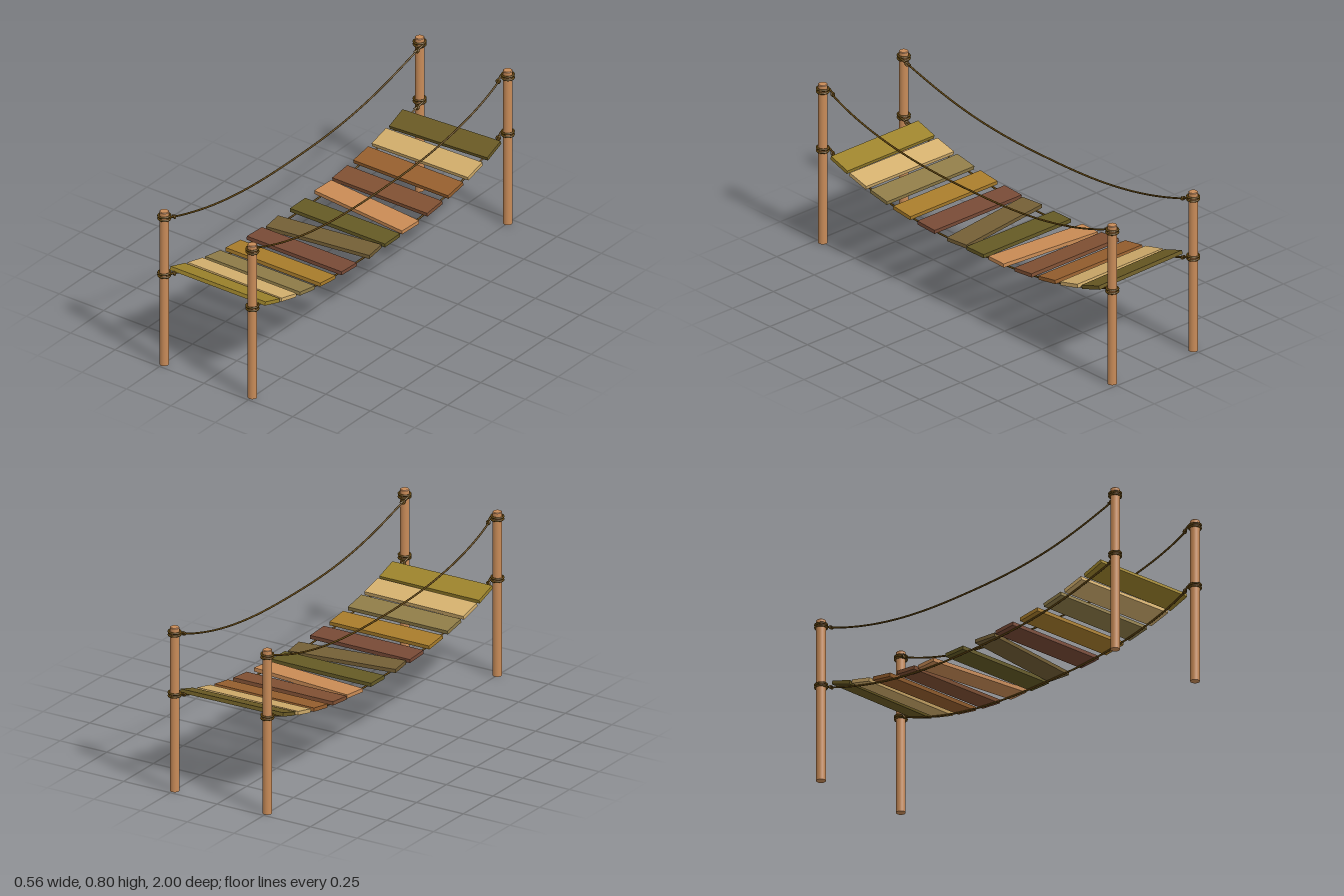
import * as THREE from 'three';

const ROPE = 0x5e430f;
const POST_X = 0.248, POST_Z = 0.967;

function mesh(geometry, color, name) {
  const m = new THREE.Mesh(geometry, new THREE.MeshStandardMaterial({ color }));
  m.name = name;
  return m;
}

// Height of a hanging rope: low in the middle, steep at the ends
const sag = (z, low, rise) => low + rise * Math.pow(Math.abs(z) / 0.93, 2.5);
const DECK = { low: 0.323, rise: 0.137, ring: 0.472 };
const RAIL = { low: 0.617, rise: 0.14, ring: 0.77 };

function post(sx, sz) {
  const profile = [[0, 0], [0.022, 0], [0.022, 0.797], [0.019, 0.8], [0, 0.8]];
  // Doubled points keep the rims sharp
  const pts = profile.flatMap(([r, y]) => [new THREE.Vector2(r, y), new THREE.Vector2(r, y)]);
  const m = mesh(new THREE.LatheGeometry(pts, 24), 0xc88b58, 'post');
  m.position.set(sx * POST_X, 0, sz * POST_Z);
  return m;
}

// Two tilted loops round a post, with a tail ending in a small knot
function lashing(sx, sz, y) {
  const g = new THREE.Group();
  g.name = 'lashing';
  [[0.007, 0.05], [-0.007, -0.03]].forEach(([dy, tilt]) => {
    const ring = mesh(new THREE.TorusGeometry(0.027, 0.005, 8, 28), ROPE, 'ropeLoop');
    ring.rotation.set(Math.PI / 2, tilt, 0);
    ring.position.set(sx * POST_X, y + dy, sz * POST_Z);
    g.add(ring);
  });
  const tail = new THREE.CatmullRomCurve3([
    [0.221, y + 0.004, 0.967], [0.222, y - 0.002, 0.945],
    [0.228, y - 0.012, 0.925], [0.236, y - 0.018, 0.905],
  ].map(([px, py, pz]) => new THREE.Vector3(sx * px, py, sz * pz)));
  g.add(mesh(new THREE.TubeGeometry(tail, 12, 0.005, 8), ROPE, 'ropeTail'));
  const knot = mesh(new THREE.TorusGeometry(0.008, 0.005, 8, 14), ROPE, 'knot');
  knot.position.set(sx * 0.228, y - 0.014, sz * 0.922);
  knot.rotation.set(sz * 0.5, sx * 0.2, 0);
  g.add(knot);
  return g;
}

function rope(sx, { low, rise }, name) {
  const pts = [];
  for (let i = 0; i <= 24; i++) {
    const z = -0.925 + (1.85 * i) / 24;
    const x = 0.24 - 0.01 * Math.pow(Math.abs(z) / 0.925, 8);
    pts.push(new THREE.Vector3(sx * x, sag(z, low, rise), z));
  }
  return mesh(new THREE.TubeGeometry(new THREE.CatmullRomCurve3(pts), 72, 0.0045, 8), ROPE, name);
}

// Planks from back to front: z, turn, colour
const PLANKS = [
  [-0.828, 0.05, 0x6a5a24], [-0.692, 0.02, 0xcfab6a], [-0.549, 0, 0x965f2e],
  [-0.39, 0, 0x805033], [-0.234, -0.095, 0xc98b55], [-0.07, 0, 0x655a25],
  [0.092, 0.135, 0x745f36], [0.258, 0, 0x784a36], [0.42, 0, 0xa87c2b],
  [0.575, 0, 0x8f7c48], [0.712, -0.01, 0xd4b06e], [0.84, 0, 0x9c832c],
];

function plank([z, turn, color]) {
  const m = mesh(new THREE.BoxGeometry(0.534, 0.018, 0.115), color, 'plank');
  const d = 0.01;
  const y = (t) => sag(t, DECK.low, DECK.rise);
  const slope = Math.atan((y(z + d) - y(z - d)) / (2 * d));
  m.rotation.set(-slope, turn, 0);
  m.position.set(-0.001, y(z) + 0.013, z);
  return m;
}

export function createModel() {
  const model = new THREE.Group();
  model.name = 'ropeBridge';
  for (const sx of [-1, 1]) {
    for (const sz of [-1, 1]) {
      model.add(post(sx, sz), lashing(sx, sz, RAIL.ring), lashing(sx, sz, DECK.ring));
    }
    model.add(rope(sx, RAIL, 'handRope'), rope(sx, DECK, 'deckRope'));
  }
  const deck = new THREE.Group();
  deck.name = 'deck';
  PLANKS.forEach((p) => deck.add(plank(p)));
  model.add(deck);
  return model;
}
